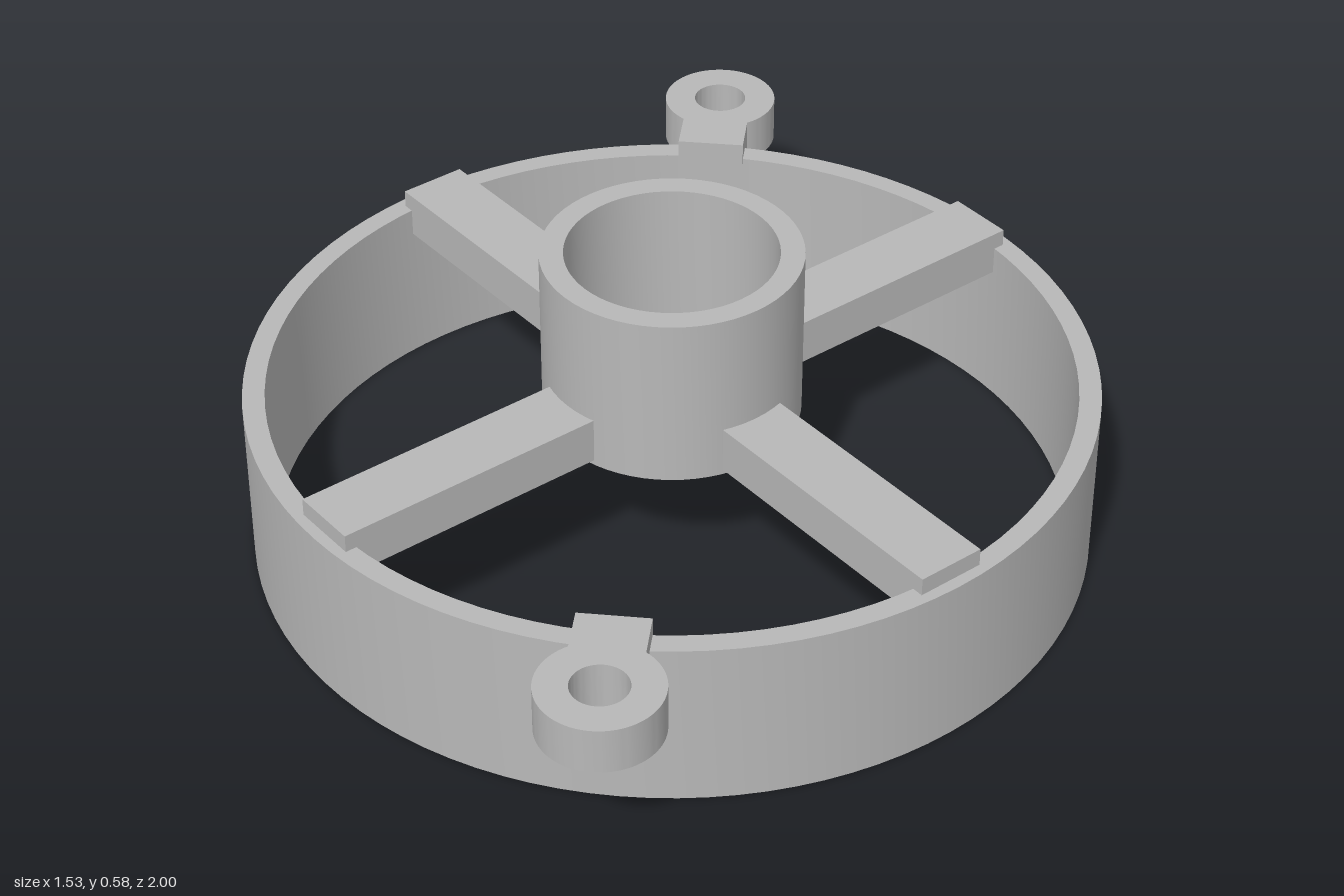
import * as THREE from 'three';
import { toCreasedNormals } from 'three/addons/utils/BufferGeometryUtils.js';

const metal = new THREE.MeshStandardMaterial({ color: 0xb8b8b8 });
metal.name = 'plain grey';

const ARM_BOTTOM = 0.267;
const ARM_TOP = 0.353;

function addPart(group, name, geometry) {
  const mesh = new THREE.Mesh(toCreasedNormals(geometry, 0.5), metal);
  mesh.name = name;
  group.add(mesh);
  return mesh;
}

// Closed profile of [radius, height] pairs, listed counter-clockwise
function turned(profile, segments) {
  const points = [...profile, profile[0]].map(([r, y]) => new THREE.Vector2(r, y));
  return new THREE.LatheGeometry(points, segments);
}

// Stem and round eye with a screw hole, pointing along +y of the shape
function lugGeometry() {
  const radius = 0.108, centre = 0.892, half = 0.063;
  const neck = Math.asin(half / radius);
  const shape = new THREE.Shape();
  shape.moveTo(-half, 0.72);
  shape.lineTo(half, 0.72);
  shape.absarc(0, centre, radius, -Math.PI / 2 + neck, Math.PI * 1.5 - neck, false);
  shape.closePath();
  const hole = new THREE.Path();
  hole.absarc(0, centre, 0.05, 0, Math.PI * 2, true);
  shape.holes.push(hole);
  return new THREE.ExtrudeGeometry(shape, {
    depth: ARM_TOP - ARM_BOTTOM, bevelEnabled: false, curveSegments: 32,
  });
}

export function createModel() {
  const model = new THREE.Group();
  model.name = 'spokedRingMount';

  // Outer band
  addPart(model, 'outerRing', turned(
    [[0.725, 0], [0.765, 0], [0.765, 0.32], [0.725, 0.32]], 96));

  // Cup-shaped hub with a bored floor
  addPart(model, 'hubCup', turned(
    [[0.068, 0.257], [0.233, 0.257], [0.233, 0.582], [0.19, 0.582], [0.19, 0.315], [0.068, 0.315]], 64));

  // Four diagonal spokes resting in the ring
  const inner = 0.212, outer = 0.743;
  for (let i = 0; i < 4; i++) {
    const bar = new THREE.BoxGeometry(outer - inner, ARM_TOP - ARM_BOTTOM, 0.128);
    bar.translate((outer + inner) / 2, (ARM_TOP + ARM_BOTTOM) / 2, 0);
    addPart(model, 'spoke' + (i + 1), bar).rotation.y = Math.PI / 4 + i * Math.PI / 2;
  }

  // Front and back mounting lugs
  for (const side of [1, -1]) {
    const lug = lugGeometry();
    lug.rotateX(side * Math.PI / 2);
    lug.translate(-0.009, side > 0 ? ARM_TOP : ARM_BOTTOM, 0);
    addPart(model, side > 0 ? 'frontLug' : 'backLug', lug);
  }

  return model;
}
